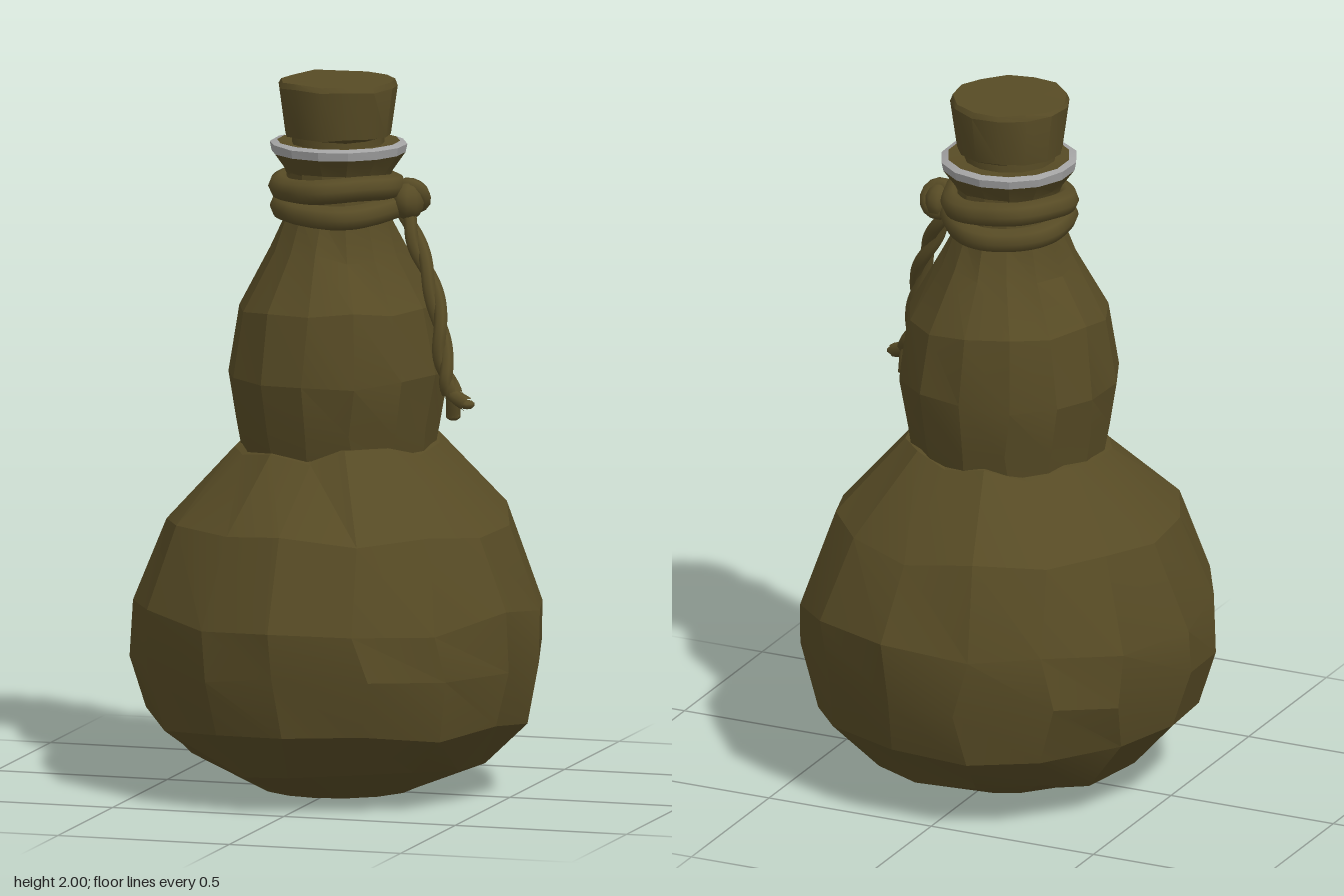
import * as THREE from 'three';
import { toCreasedNormals } from 'three/addons/utils/BufferGeometryUtils.js';

const olive = new THREE.MeshStandardMaterial({ name: 'olive brown', color: 0x574b25 });
const grey = new THREE.MeshStandardMaterial({ name: 'rim grey', color: 0xa3a3a3 });

// Lathe with seeded, hand-carved unevenness; the seam columns stay matched
function carved(profile, sides, wobble, seed, crease = 0.3) {
  const noise = (i, j, k) => {
    const s = Math.sin((i % sides) * 12.99 + j * 78.23 + k * 37.7 + seed * 5.1) * 43758.55;
    return (s - Math.floor(s)) * 2 - 1;
  };
  const geo = new THREE.LatheGeometry(profile.map(p => new THREE.Vector2(...p)), sides);
  const pos = geo.attributes.position;
  const rows = profile.length;
  for (let i = 0; i <= sides; i++) {
    for (let j = 0; j < rows; j++) {
      const [radius, y] = profile[j];
      const inner = j > 0 && j < rows - 1;
      const angle = ((i % sides) + noise(i, j, 1) * wobble * 5) / sides * Math.PI * 2;
      const r = radius * (1 + noise(i, j, 2) * wobble * 0.6);
      const dy = inner && y > 0.05 ? noise(i, j, 3) * wobble : 0;
      pos.setXYZ(i * rows + j, Math.sin(angle) * r, y + dy, Math.cos(angle) * r);
    }
  }
  geo.deleteAttribute('normal');
  geo.deleteAttribute('uv');
  return toCreasedNormals(geo, crease);
}

function createPart(group, name, geometry, material) {
  const mesh = new THREE.Mesh(geometry, material);
  mesh.name = name;
  group.add(mesh);
  return mesh;
}

const path = points => new THREE.CatmullRomCurve3(points.map(p => new THREE.Vector3(...p)));

// Two strands wound around a path
function twistedRope(group, name, curve, spread, thickness, turns) {
  for (const side of [0, Math.PI]) {
    const points = [];
    for (let i = 0; i <= 32; i++) {
      const t = i / 32;
      const a = side + t * turns * Math.PI * 2;
      const p = curve.getPoint(t);
      points.push([p.x + Math.cos(a) * spread, p.y, p.z + Math.sin(a) * spread]);
    }
    createPart(group, name, new THREE.TubeGeometry(path(points), 40, thickness, 7), olive);
  }
}

export function createModel() {
  const model = new THREE.Group();
  model.name = 'gourdBottle';

  // Two bulbs of the gourd
  const lower = createPart(model, 'lowerBulb', carved([
    [0, 0], [0.22, 0.008], [0.42, 0.1], [0.545, 0.22], [0.583, 0.38],
    [0.583, 0.53], [0.49, 0.77], [0.29, 0.98], [0.2, 1.0],
  ], 15, 0.022, 1), olive);
  lower.scale.x = 0.985;
  lower.scale.z = 1.01;
  const upper = createPart(model, 'upperBulb', carved([
    [0.277, 0.96], [0.292, 1.04], [0.317, 1.18], [0.287, 1.37],
    [0.195, 1.52], [0.155, 1.62], [0.148, 1.76],
  ], 14, 0.014, 4), olive);
  upper.scale.x = 0.97;
  upper.scale.z = 1.02;

  // Flared mouth with a pale rim
  createPart(model, 'mouthFlare', carved([
    [0.14, 1.72], [0.152, 1.75], [0.187, 1.797],
  ], 14, 0.004, 2), olive);
  createPart(model, 'paleRim', carved([
    [0.187, 1.797], [0.192, 1.822], [0.172, 1.828],
  ], 14, 0.003, 2), grey);
  createPart(model, 'mouthTop', carved([
    [0.174, 1.827], [0.15, 1.824], [0.11, 1.82],
  ], 14, 0, 2), olive);

  // Tapered stopper
  const cork = createPart(model, 'stopper', carved([
    [0.13, 1.79], [0.13, 1.842], [0.148, 1.848], [0.167, 1.985], [0.16, 2], [0, 2],
  ], 13, 0.004, 7, 0.5), olive);
  cork.position.z = 0.008;

  // Rope wound twice around the neck
  const rope = new THREE.Group();
  rope.name = 'rope';
  model.add(rope);
  for (const [y, phase] of [[1.705, 0], [1.64, 2]]) {
    const points = [];
    for (let i = 0; i < 20; i++) {
      const a = i / 20 * Math.PI * 2;
      const r = 0.157 + 0.004 * Math.sin(a * 5 + phase);
      points.push([Math.cos(a) * r, y + 0.008 * Math.sin(a * 2 + phase), Math.sin(a) * r]);
    }
    const loop = path(points);
    loop.closed = true;
    createPart(rope, 'neckLoop', new THREE.TubeGeometry(loop, 60, 0.035, 8, true), olive);
  }

  // Knot: a lump crossed by a short wrap
  const knot = createPart(rope, 'knot', new THREE.SphereGeometry(0.05, 10, 8), olive);
  knot.position.set(0.2, 1.665, -0.015);
  knot.scale.set(0.9, 1.1, 1.25);
  const wrap = createPart(rope, 'knotWrap', new THREE.TorusGeometry(0.036, 0.024, 7, 14), olive);
  wrap.position.set(0.2, 1.675, -0.03);
  wrap.rotation.x = 0.5;

  // Hanging tail that frays into two ends
  twistedRope(rope, 'ropeTail', path([
    [0.19, 1.64, -0.01], [0.235, 1.55, 0.02], [0.285, 1.45, 0.05],
    [0.325, 1.33, 0.085], [0.345, 1.22, 0.11], [0.37, 1.15, 0.12],
  ]), 0.011, 0.019, 2);
  for (const end of [[0.42, 1.125, 0.14], [0.368, 1.085, 0.105]]) {
    const curve = path([[0.355, 1.19, 0.115], [0.37, 1.15, 0.12], end]);
    createPart(rope, 'frayedEnd', new THREE.TubeGeometry(curve, 8, 0.021, 7), olive);
    const cap = createPart(rope, 'frayedTip', new THREE.SphereGeometry(0.022, 7, 5), olive);
    cap.position.set(...end);
    cap.scale.y = 0.6;
  }

  return model;
}
